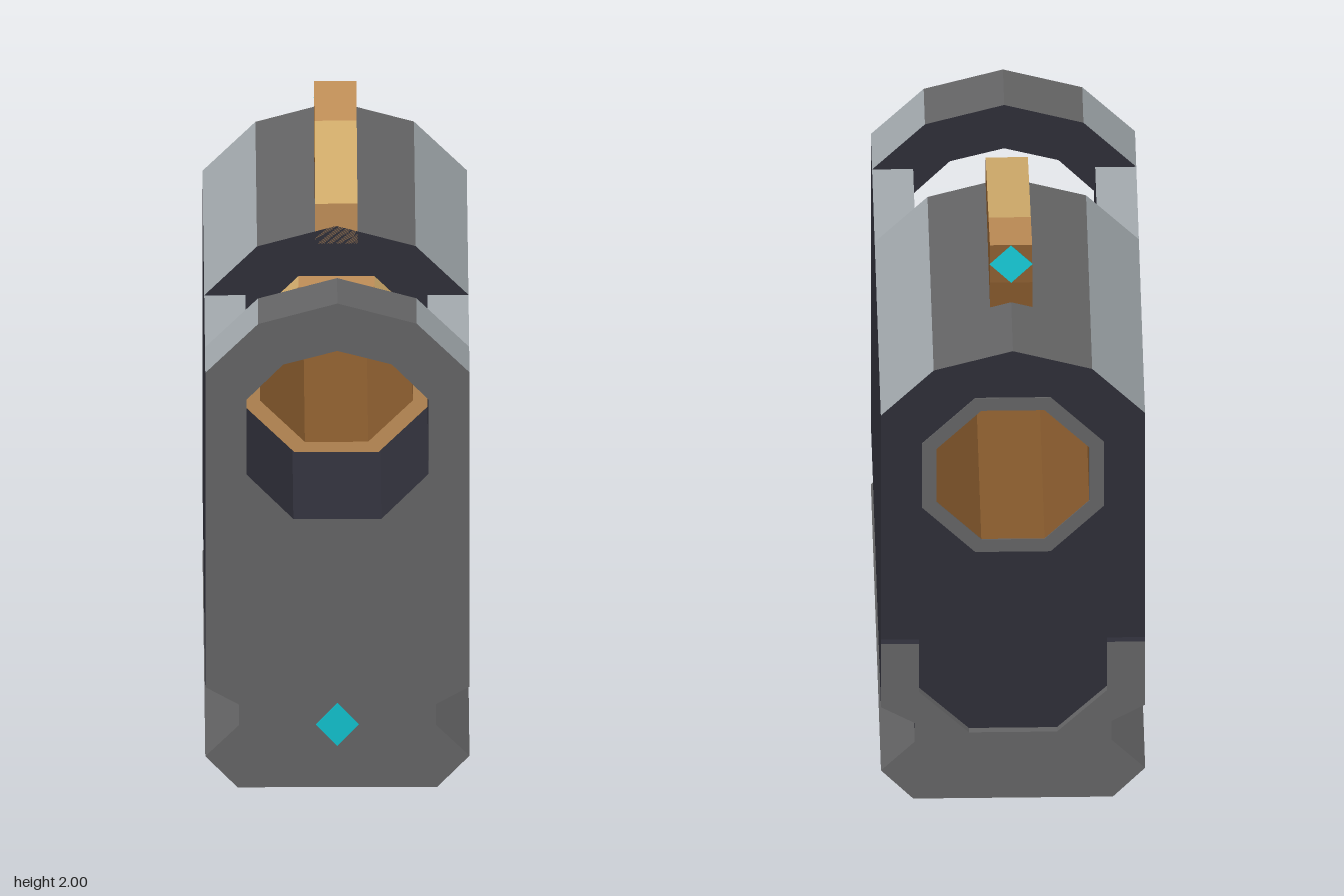
import * as THREE from 'three';
import { mergeGeometries } from 'three/addons/utils/BufferGeometryUtils.js';

const mat = (name, color) => Object.assign(new THREE.MeshStandardMaterial({ color }), { name });
const navy = mat('dark navy', 0x2e2e38);
const black = mat('black', 0x1c1c1e);
const gray = mat('mid gray', 0x646465);
const light = mat('light gray', 0xa3aaae);
const tan = mat('tan', 0xd2ac6b);
const copper = mat('copper', 0xbf8e57);
const brown = mat('brown', 0x84582c);
const cyan = mat('cyan', 0x10c0cc);

// Mirrors a right-hand half outline, listed from bottom to top, about x = 0.
function mirrored(half) {
  const left = half.filter(p => p[0] > 0).map(([x, y]) => [-x, y]).reverse();
  return [...half, ...left];
}

// Materials for the edges of a mirrored outline.
const mirroredEdges = (half, bottom, middle) =>
  [...half, ...(middle ? [middle] : []), ...[...half].reverse(), bottom];

function octagon(apothem, cy) {
  const r = apothem / Math.cos(Math.PI / 8);
  return Array.from({ length: 8 }, (_, i) => {
    const a = Math.PI / 8 + i * Math.PI / 4;
    return [r * Math.cos(a), cy + r * Math.sin(a)];
  });
}

// Walls of an outline from z0 to z1; each edge is one flat quad.
function wall(a, b, z0, z1) {
  const g = new THREE.BufferGeometry();
  const A = [...a, z0], B = [...b, z0], C = [...b, z1], D = [...a, z1];
  g.setAttribute('position', new THREE.Float32BufferAttribute([A, B, C, A, C, D].flat(), 3));
  g.computeVertexNormals();
  return g;
}

// Prism along z with one material per edge, optional caps and an optional hole.
function prism(name, { pts, edges, z0, z1, front, back, hole, holeEdge }) {
  const parts = [], mats = [];
  const add = (g, m) => { parts.push(g); mats.push(m); };
  pts.forEach((p, i) => add(wall(p, pts[(i + 1) % pts.length], z0, z1),
    Array.isArray(edges) ? edges[i] : edges));
  if (hole) hole.forEach((p, i) => add(wall(hole[(i + 1) % hole.length], p, z0, z1), holeEdge));

  const vec = list => list.map(p => new THREE.Vector2(...p));
  const shape = new THREE.Shape(vec(pts));
  if (hole) shape.holes.push(new THREE.Path(vec(hole)));
  const cap = (z, flip) => {
    const g = new THREE.ShapeGeometry(shape).toNonIndexed();
    g.deleteAttribute('uv');
    const p = g.attributes.position;
    for (let i = 0; i < p.count; i++) p.setZ(i, z);
    if (flip) for (let i = 0; i < p.count; i += 3) {
      const x = p.getX(i), y = p.getY(i);
      p.setXY(i, p.getX(i + 1), p.getY(i + 1));
      p.setXY(i + 1, x, y);
    }
    g.computeVertexNormals();
    return g;
  };
  if (front) add(cap(z1, false), front);
  if (back) add(cap(z0, true), back);

  const mesh = new THREE.Mesh(mergeGeometries(parts, true), mats);
  mesh.name = name;
  return mesh;
}

export function createModel() {
  const model = new THREE.Group();
  model.name = 'sight';
  const CY = 1.288;

  // Shared dovetail foot, then the arched housing outline
  const foot = [[0.34, 0], [0.45, 0.115], [0.335, 0.23], [0.335, 0.305], [0.45, 0.37]];
  const footEdges = [black, gray, navy, black];
  const arch = mirrored([...foot, [0.45, 1.53], [0.27, 1.71], [0, 1.785]]);
  const archEdges = mirroredEdges([...footEdges, navy, light, gray], black);
  const bore = mirrored([[0.15, 0.99], [0.31, 1.155], [0.31, 1.43], [0.185, 1.56], [0, 1.61]]);

  // Front hoop
  model.add(prism('frontHoop', {
    pts: arch, edges: archEdges, z0: 0.68, z1: 0.905,
    front: gray, back: navy, hole: bore, holeEdge: navy,
  }));

  // Middle section, open at the top
  model.add(prism('openMiddle', {
    pts: mirrored([...foot, [0.45, 1.53], [0.31, 1.53], [0.31, 1.155], [0.15, 0.99]]),
    edges: mirroredEdges([...footEdges, navy, light, navy, navy], black, navy),
    z0: 0.22, z1: 0.68,
  }));

  // Rear housing with the barrel bore through it
  model.add(prism('rearHousing', {
    pts: arch, edges: archEdges, z0: -0.88, z1: 0.22,
    front: navy, back: navy, hole: octagon(0.26, CY), holeEdge: brown,
  }));

  // Barrel collar showing in the opening
  const collarEdges = [tan, copper, tan, tan, tan, copper, tan, tan];
  model.add(prism('barrelCollar', {
    pts: octagon(0.312, CY), edges: collarEdges, z0: 0.22, z1: 0.315,
    front: copper, hole: octagon(0.26, CY), holeEdge: brown,
  }));

  // Rim around the rear bore
  model.add(prism('rearRim', {
    pts: octagon(0.31, CY), edges: gray, z0: -0.884, z1: -0.88,
    back: gray, hole: octagon(0.26, CY), holeEdge: gray,
  }));

  // Rear plate with two lips and a U-shaped cut-out
  model.add(prism('rearPlate', {
    pts: mirrored([...foot, [0.45, 0.625], [0.32, 0.625], [0.32, 0.43], [0.15, 0.265]]),
    edges: mirroredEdges([...footEdges, navy, navy, gray, gray], black, gray),
    z0: -0.908, z1: -0.88, back: gray,
  }));

  // Wedge-shaped fin on top, drawn in the z-y plane and turned to run along z
  const fin = prism('topFin', {
    pts: [[0.22, 1.72], [0.22, 1.867], [-0.3, 1.956], [-0.545, 2], [-0.57, 1.865], [-0.57, 1.72]],
    edges: [copper, tan, copper, brown, brown, brown],
    z0: -0.072, z1: 0.072, front: brown, back: brown,
  });
  fin.rotation.y = -Math.PI / 2;
  model.add(fin);

  // Cyan diamond marks
  const diamond = (name, h) => prism(name, {
    pts: [[0.073, 0], [0, h], [-0.073, 0], [0, -h]],
    edges: cyan, z0: 0, z1: 0.004, front: cyan,
  });
  const frontMark = diamond('frontMark', 0.079);
  frontMark.position.set(0, 0.232, 0.904);
  const rearMark = diamond('rearMark', 0.068);
  rearMark.rotation.set(-Math.atan2(0.025, 0.135), Math.PI, 0, 'YXZ');
  rearMark.position.set(0, 1.932, -0.5576);
  model.add(frontMark, rearMark);

  // Outline faces wind clockwise for prisms turned inside out by a left-to-right listing
  return model;
}
